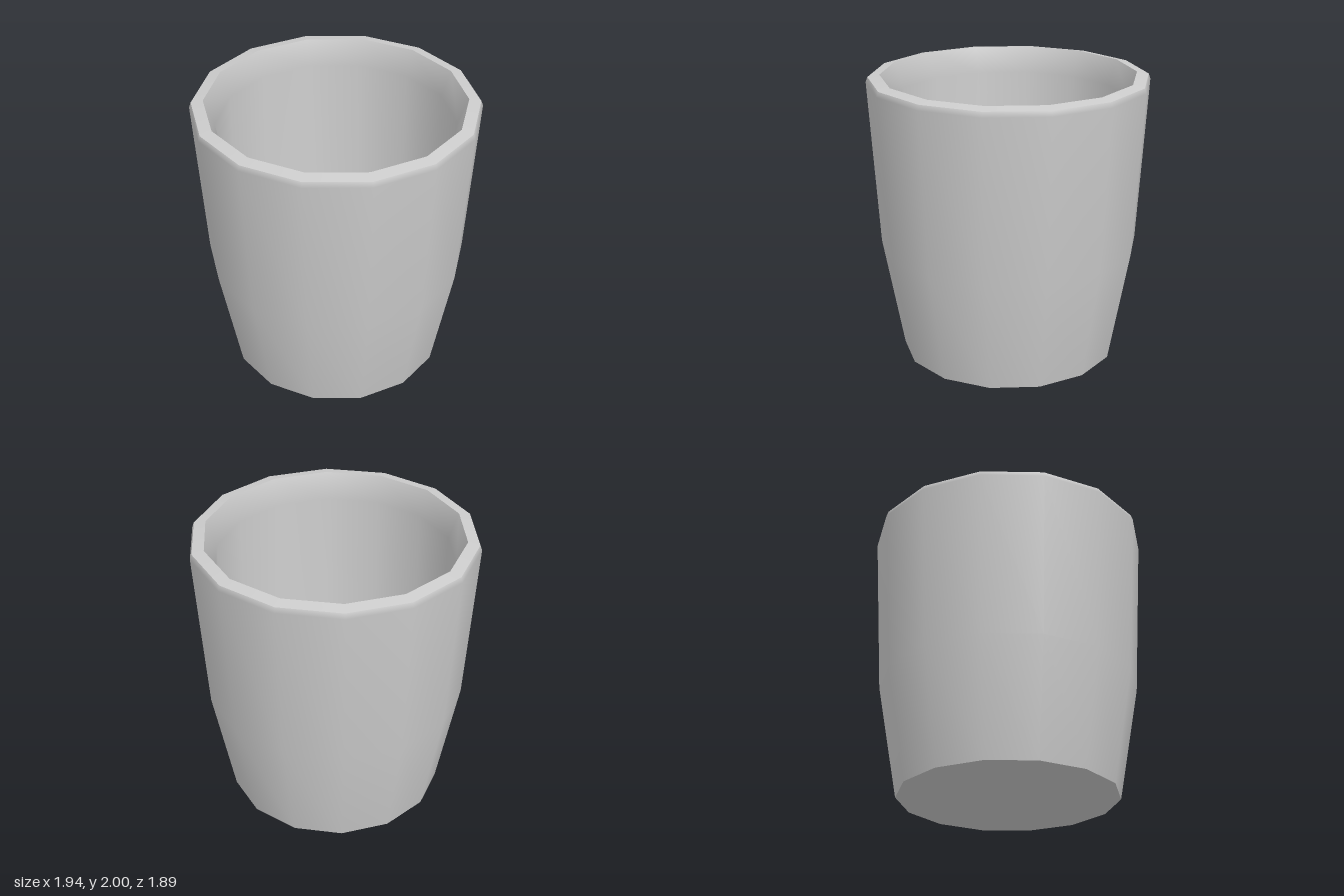
import * as THREE from 'three';

const SIDES = 14;

// One smooth band of the cup; separate bands keep the edges between them sharp.
function band(name, profile, material) {
  const points = profile.map(([r, y]) => new THREE.Vector2(r, y));
  // Quarter-turn start puts a corner on the x axis.
  const mesh = new THREE.Mesh(new THREE.LatheGeometry(points, SIDES, Math.PI / 2), material);
  mesh.name = name;
  return mesh;
}

export function createModel() {
  const group = new THREE.Group();
  group.name = 'cup';
  const material = new THREE.MeshStandardMaterial({ color: 0xcccccc });

  group.add(
    band('base', [[0, 0], [0.76, 0]], material),
    // Flared outer wall with a small chamfer below the lip
    band('outerWall', [[0.76, 0], [0.903, 0.8], [0.97, 1.95], [0.957, 1.985]], material),
    // Lip rising slightly towards the opening
    band('rim', [[0.957, 1.985], [0.876, 2]], material),
    // Sloped mouth, upright middle, then a taper down to the floor
    band('innerWall', [[0.876, 2], [0.81, 1.82], [0.808, 0.8], [0.705, 0.2]], material),
    band('innerFloor', [[0.705, 0.2], [0, 0.2]], material),
  );
  return group;
}
